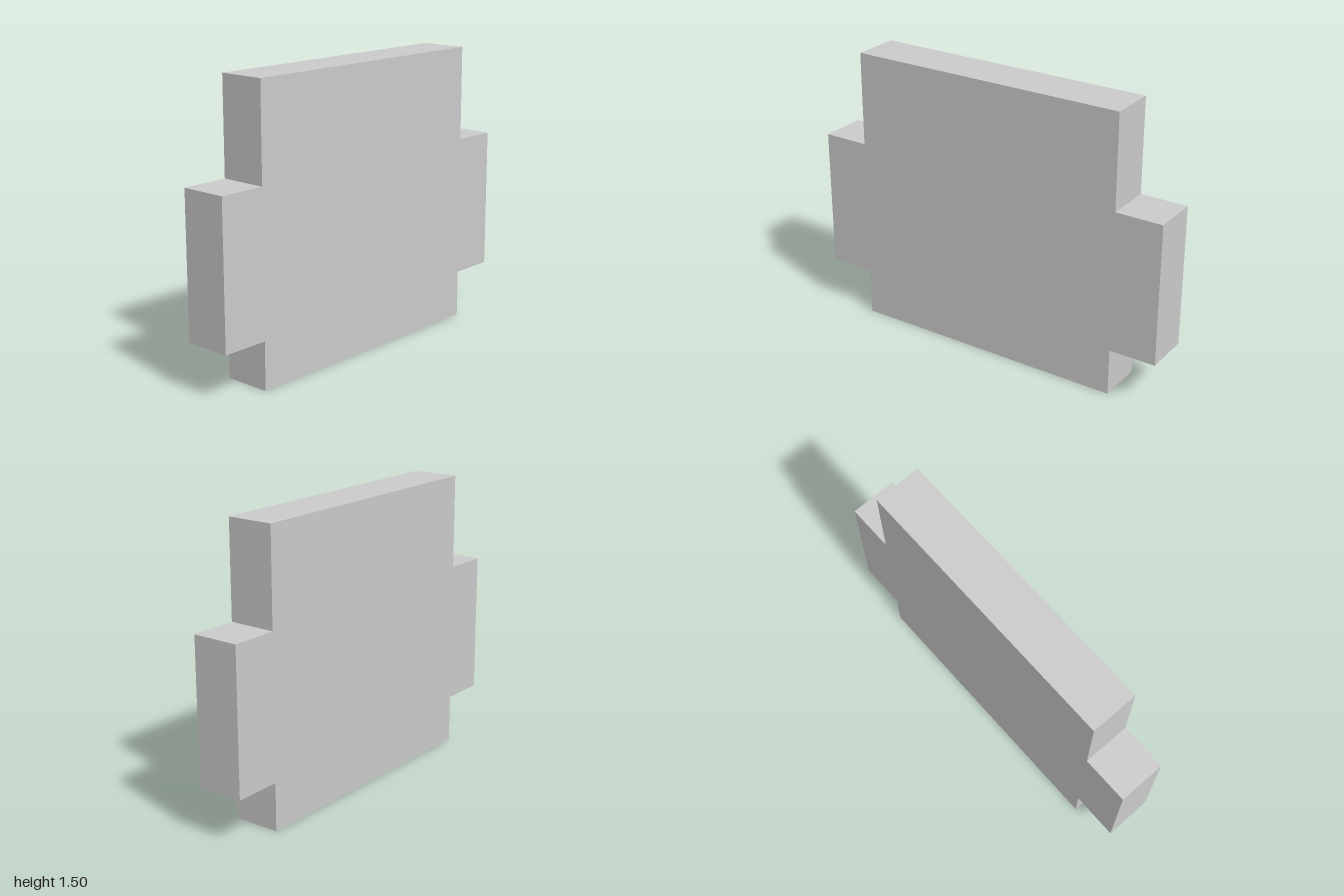
import * as THREE from 'three';

const DEPTH = 0.25;

export function createModel() {
  const group = new THREE.Group();
  group.name = 'steppedPlate';
  const material = new THREE.MeshStandardMaterial({ color: 0xcccccc, flatShading: true });

  // Right half of the stepped outline, bottom to top; mirrored for the other half
  const half = [[0.75, 0], [0.75, 0.25], [1, 0.25], [1, 1], [0.75, 1], [0.75, 1.5]];
  const mirrored = half.map(([x, y]) => [-x, y]).reverse();
  const outline = new THREE.Shape([...half, ...mirrored].map(([x, y]) => new THREE.Vector2(x, y)));

  // Solid plate with a side tab on each edge
  const geometry = new THREE.ExtrudeGeometry(outline, { depth: DEPTH, bevelEnabled: false });
  geometry.translate(0, 0, -DEPTH / 2);
  const plate = new THREE.Mesh(geometry, material);
  plate.name = 'plateWithSideTabs';
  group.add(plate);

  return group;
}
